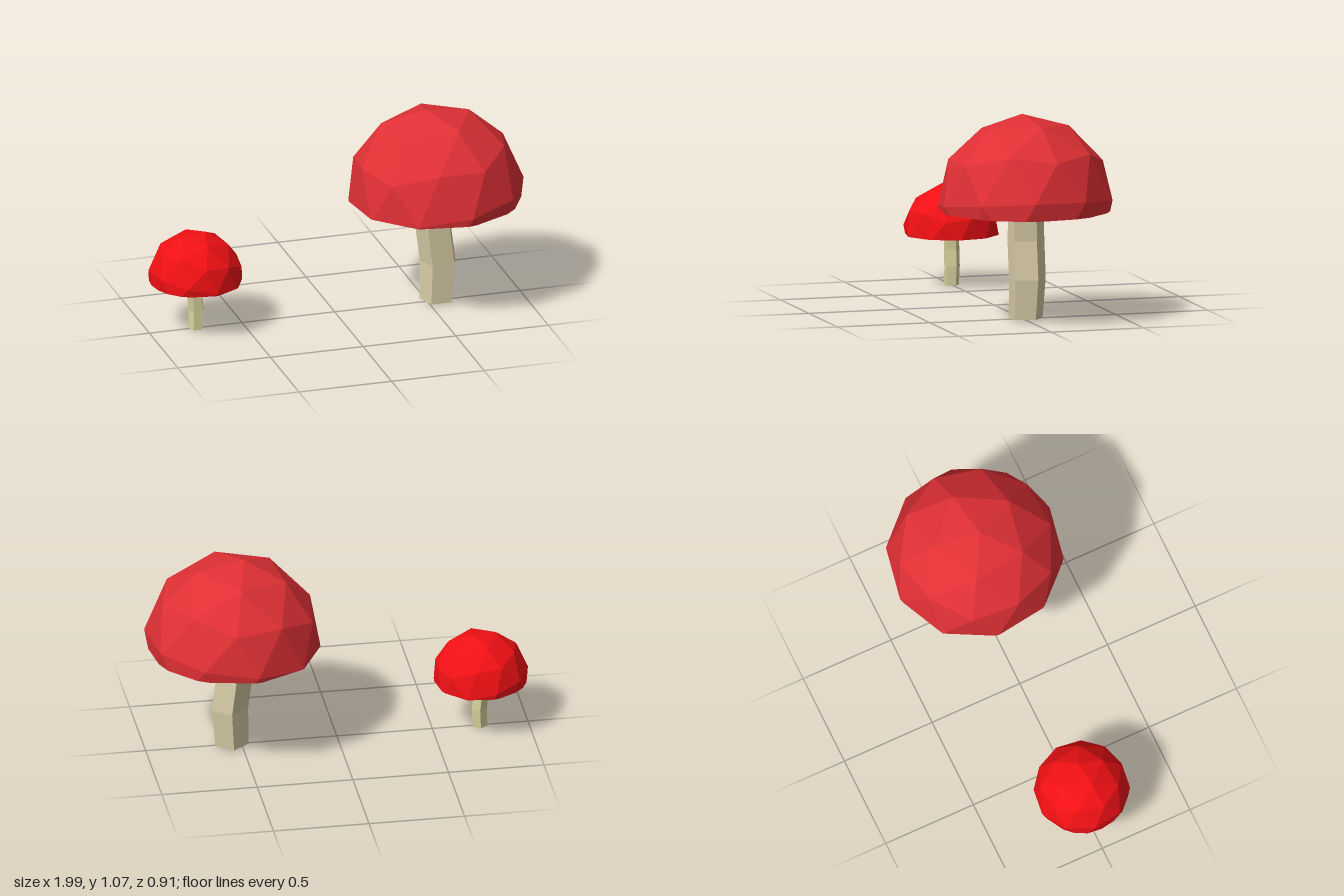
import * as THREE from 'three';

const DEG = Math.PI / 180;

function facetedMesh(name, positions, color) {
  const geometry = new THREE.BufferGeometry();
  geometry.setAttribute('position', new THREE.Float32BufferAttribute(positions, 3));
  geometry.computeVertexNormals();
  const mesh = new THREE.Mesh(geometry, new THREE.MeshStandardMaterial({ color, flatShading: true }));
  mesh.name = name;
  return mesh;
}

// Icosphere cut by a level plane, with a sloped lip turning in to a gill disc
function makeCap({ center, radius, yaw, tilt, cut, lip, lift, capColor, gillColor }) {
  const ball = new THREE.IcosahedronGeometry(radius, 1);
  ball.rotateZ(Math.atan(2 / (1 + Math.sqrt(5)))); // a five-sided corner on top
  ball.rotateY(yaw * DEG);
  ball.rotateZ(tilt * DEG);

  const skin = [], gills = [];
  const add = (list, ...points) => points.forEach((p) => list.push(p.x, p.y, p.z));
  const inward = (p) => new THREE.Vector3(p.x * lip, cut + lift, p.z * lip);
  const middle = new THREE.Vector3(0, cut + lift, 0);
  const pos = ball.attributes.position;

  for (let i = 0; i < pos.count; i += 3) {
    const tri = [0, 1, 2].map((k) => new THREE.Vector3().fromBufferAttribute(pos, i + k));
    const kept = [];
    let leave, enter;
    tri.forEach((a, k) => {
      const b = tri[(k + 1) % 3];
      if (a.y >= cut) kept.push(a);
      if ((a.y >= cut) !== (b.y >= cut)) {
        const p = a.clone().lerp(b, (cut - a.y) / (b.y - a.y));
        kept.push(p);
        if (a.y >= cut) leave = p; else enter = p;
      }
    });
    for (let k = 1; k < kept.length - 1; k++) add(skin, kept[0], kept[k], kept[k + 1]);
    if (leave) {
      const li = inward(leave), ei = inward(enter);
      add(skin, enter, leave, li, enter, li, ei);
      add(gills, ei, li, middle);
    }
  }
  const group = new THREE.Group();
  group.name = 'cap';
  group.add(facetedMesh('capSkin', skin, capColor), facetedMesh('gills', gills, gillColor));
  group.position.set(...center);
  return group;
}

// Five-sided stem; each section is [x, y, z, radius]
function makeStem(sections, color) {
  const rings = sections.map(([x, y, z, r]) => Array.from({ length: 5 }, (_, k) => {
    const a = (180 + 72 * k) * DEG; // ridge at the back, flat side in front
    return [x + r * Math.sin(a), y, z + r * Math.cos(a)];
  }));
  const out = [];
  for (let s = 0; s < rings.length - 1; s++) {
    for (let k = 0; k < 5; k++) {
      const n = (k + 1) % 5;
      const a = rings[s][k], b = rings[s][n], c = rings[s + 1][n], d = rings[s + 1][k];
      out.push(...a, ...b, ...c, ...a, ...c, ...d);
    }
  }
  const base = rings[0], top = rings[rings.length - 1];
  for (let k = 1; k < 4; k++) {
    out.push(...base[0], ...base[k + 1], ...base[k]);
    out.push(...top[0], ...top[k], ...top[k + 1]);
  }
  return facetedMesh('stem', out, color);
}

function makeMushroom(name, cap, sections, stemColor) {
  const group = new THREE.Group();
  group.name = name;
  group.add(makeCap(cap), makeStem(sections, stemColor));
  return group;
}

export function createModel() {
  const model = new THREE.Group();
  model.name = 'mushrooms';

  model.add(makeMushroom('largeMushroom', {
    center: [0.545, 0.61, 0], radius: 0.46, yaw: -28, tilt: 7,
    cut: -0.035, lip: 0.68, lift: 0.045, capColor: 0xe03035, gillColor: 0xd8dcb4,
  }, [
    [0.553, 0.01, 0, 0.092],
    [0.565, 0.22, -0.005, 0.1],
    [0.54, 0.42, -0.005, 0.1],
    [0.562, 0.64, 0, 0.093],
  ], 0xd8cca6));

  model.add(makeMushroom('smallMushroom', {
    center: [-0.752, 0.285, 0], radius: 0.25, yaw: 10, tilt: -12,
    cut: -0.02, lip: 0.66, lift: 0.025, capColor: 0xf01014, gillColor: 0xd0cbb0,
  }, [
    [-0.748, 0, 0, 0.04],
    [-0.743, 0.1, -0.002, 0.042],
    [-0.752, 0.19, -0.002, 0.042],
    [-0.746, 0.3, 0, 0.04],
  ], 0xd8d29c));

  return model;
}
